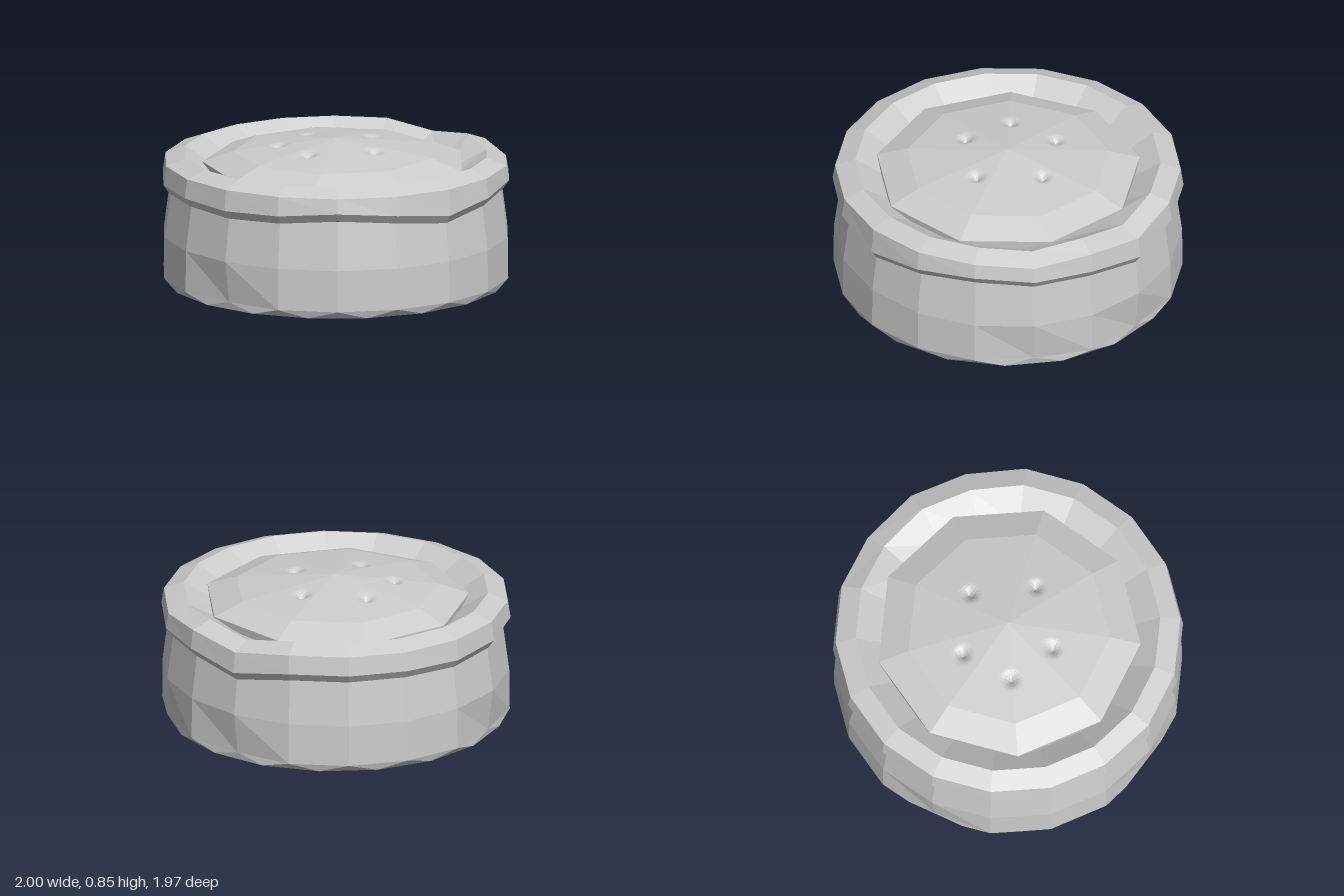
import * as THREE from 'three';

const SIDES = 18;
const grey = new THREE.MeshStandardMaterial({ color: 0xcccccc, flatShading: true });
grey.name = 'plain grey';

// Point on a ring, k counted in steps round the model
const onRing = (k, sides, r, y, start = 0) => {
  const a = start + (k / sides) * Math.PI * 2;
  return new THREE.Vector3(Math.cos(a) * r, y, Math.sin(a) * r);
};

const meshFrom = (name, points) => {
  const geometry = new THREE.BufferGeometry().setFromPoints(points);
  geometry.computeVertexNormals();
  const mesh = new THREE.Mesh(geometry, grey);
  mesh.name = name;
  return mesh;
};

// Skin between successive rings, facing outward when the rings climb
const loft = (rings) => {
  const out = [];
  for (let i = 0; i + 1 < rings.length; i++) {
    const lo = rings[i], hi = rings[i + 1], n = lo.length;
    for (let k = 0; k < n; k++) {
      const m = (k + 1) % n;
      out.push(lo[k], hi[k], hi[m], lo[k], hi[m], lo[m]);
    }
  }
  return out;
};

const ring = (r, y, shift = 0, move = () => [0, 0]) =>
  Array.from({ length: SIDES }, (_, k) => {
    const [dr, dy] = move(k);
    return onRing(k + shift, SIDES, r + dr, y + dy);
  });

// Bulging base with a zigzag foot and a few dents
function makeBase() {
  const dented = [1, 8, 12, 17];
  const dent = (k) => [dented.includes(k) ? -0.035 : 0, 0];
  return meshFrom('base', loft([
    ring(0, 0),
    ring(0.9, 0, 0.5),
    ring(0.965, 0.015, 0.5),
    ring(0.995, 0.06, 0, dent),
    ring(0.992, 0.3),
    ring(0.955, 0.58),
  ]));
}

// Uneven crust rim
function makeRim() {
  const low = [0, 0, 0.025, 0, -0.04, 0, 0.025, 0, -0.01, 0, 0, 0.01, 0, -0.01, 0, 0, 0, -0.052];
  const high = { 1: -0.022, 17: -0.04 };
  const sag = (k) => [0, low[k]];
  const dip = (k) => [0, high[k] || 0];
  return meshFrom('crustRim', loft([
    ring(0.93, 0.56, 0, sag),
    ring(0.965, 0.56, 0, sag),
    ring(1.0, 0.61, 0, sag),
    ring(0.985, 0.72, 0, dip),
    ring(0.87, 0.762, 0, dip),
    ring(0.66, 0.63),
  ]));
}

// Nine-sided domed lid, finely divided so that small pricked holes can be pressed in
function makeLid() {
  const pricks = [[0, -0.31], [-0.28, -0.17], [0.28, -0.07], [-0.26, 0.13], [0.1, 0.26]];
  const press = (p) => {
    for (const [x, z] of pricks) {
      const d = Math.hypot(p.x - x, p.z - z) / 0.07;
      if (d < 1) p.y -= 0.045 * (1 - d) ** 2;
    }
    return p;
  };
  const nine = (r, y) => Array.from({ length: 9 }, (_, k) => onRing(k, 9, r, y, Math.PI / 2));
  const coarse = loft([nine(0.755, 0.62), nine(0.76, 0.705), nine(0.585, 0.768), nine(0, 0.845)]);
  const out = [], N = 30;
  for (let t = 0; t < coarse.length; t += 3) {
    const [a, b, c] = coarse.slice(t, t + 3);
    const area = b.clone().sub(a).cross(c.clone().sub(a)).length();
    if (area < 1e-6) continue;
    // Only the faces that reach the middle carry holes
    const n = Math.min(a.y, b.y, c.y) > 0.75 ? N : 1;
    const at = (i, j) => press(a.clone()
      .addScaledVector(b.clone().sub(a), i / n)
      .addScaledVector(c.clone().sub(a), j / n));
    for (let i = 0; i < n; i++) {
      for (let j = 0; i + j < n; j++) {
        out.push(at(i, j), at(i + 1, j), at(i, j + 1));
        if (i + j < n - 1) out.push(at(i + 1, j), at(i + 1, j + 1), at(i, j + 1));
      }
    }
  }
  return meshFrom('lid', out);
}

export function createModel() {
  const pie = new THREE.Group();
  pie.name = 'pie';
  pie.add(makeBase(), makeRim(), makeLid());
  return pie;
}
